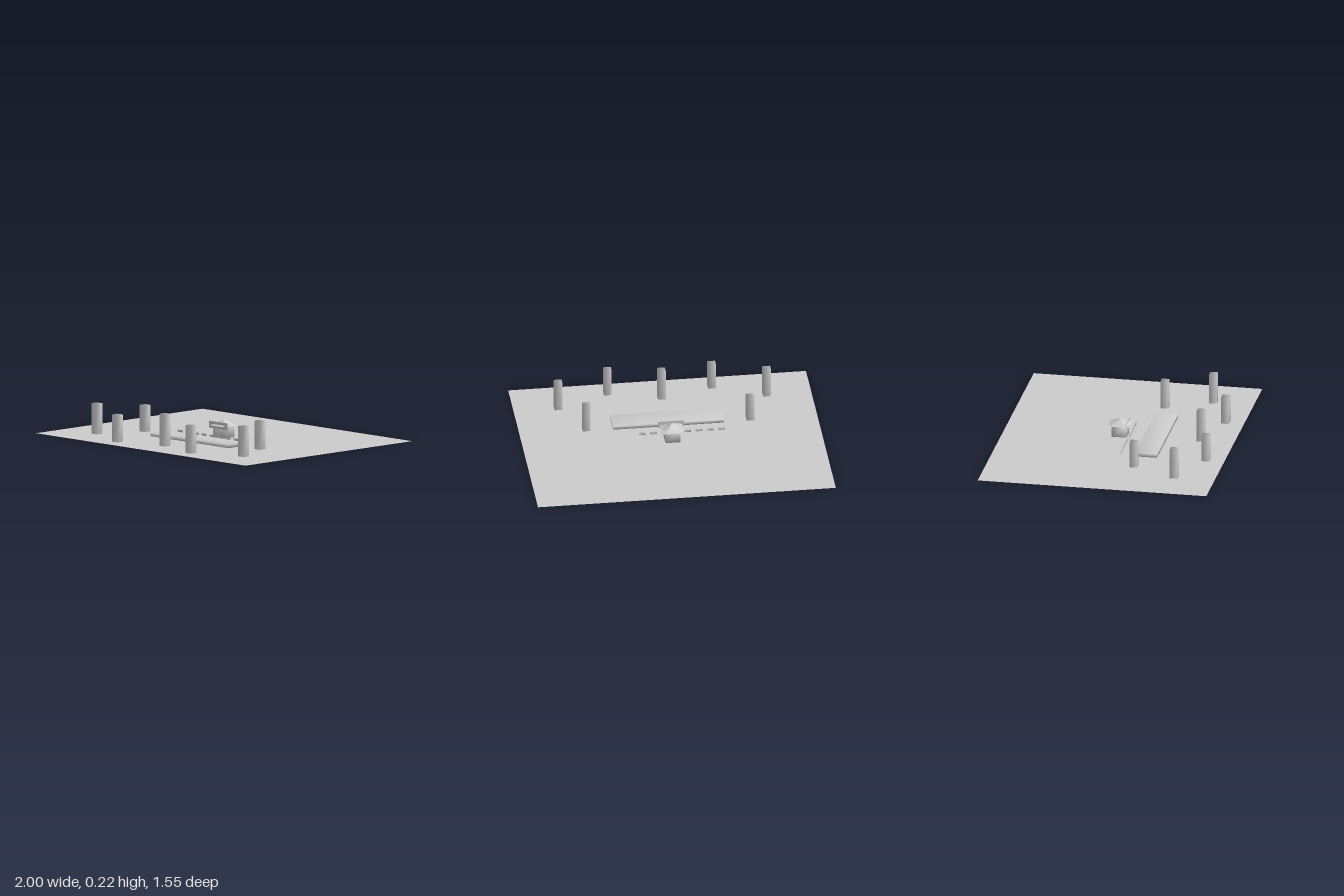
import * as THREE from 'three';
import { mergeVertices } from 'three/addons/utils/BufferGeometryUtils.js';

// Shared-vertex geometry gives soft shading across the corners
function soften(geometry) {
  geometry.deleteAttribute('normal');
  geometry.deleteAttribute('uv');
  const merged = mergeVertices(geometry, 1e-5);
  merged.computeVertexNormals();
  return merged;
}

export function createModel() {
  const model = new THREE.Group();
  const stone = new THREE.MeshStandardMaterial({ color: 0xcccccc, side: THREE.DoubleSide });
  stone.name = 'grey stone';

  function add(name, geometry, x = 0, y = 0, z = 0, parent = model) {
    const mesh = new THREE.Mesh(geometry, stone);
    mesh.name = name;
    mesh.position.set(x, y, z);
    parent.add(mesh);
    return mesh;
  }
  // Soft-shaded box standing at height y0
  function block(name, w, h, d, x, y0, z, parent) {
    return add(name, soften(new THREE.BoxGeometry(w, h, d)), x, y0 + h / 2, z, parent);
  }

  // Ground sheet
  add('ground', new THREE.PlaneGeometry(2, 1.55).rotateX(-Math.PI / 2));

  // Long low platform
  block('platform', 0.745, 0.025, 0.15, 0, 0.001, 0.246);

  // Standing pillars: x, z, height
  const pillars = [
    [-0.7, 0.5, 0.205], [-0.55, 0.2, 0.178], [-0.35, 0.65, 0.183], [0, 0.55, 0.216],
    [0.35, 0.65, 0.188], [0.55, 0.2, 0.193], [0.7, 0.5, 0.205],
  ];
  for (const [x, z, h] of pillars) block('pillar', 0.052, h, 0.052, x, 0.001, z);

  // Row of low fence boards behind the platform
  for (let i = 0; i < 8; i++) block('fenceBoard', 0.045, 0.015, 0.005, -0.342 + i * 0.076, 0.005, 0.074);

  // Small shrine
  const shrine = new THREE.Group();
  shrine.name = 'shrine';
  model.add(shrine);
  block('shrineBody', 0.1, 0.089, 0.102, 0, 0.001, 0.002, shrine);
  add('signBoard', new THREE.PlaneGeometry(0.177, 0.047), 0, 0.084, 0.054, shrine);

  // Roof: a concave spire with rounded-square cross-sections
  const profile = [[0.075, 0.082], [0.062, 0.086], [0.048, 0.092], [0.03, 0.102], [0.014, 0.114], [0, 0.125]]
    .map(([r, y]) => new THREE.Vector2(r, y));
  const roof = new THREE.LatheGeometry(profile, 32);
  const p = roof.attributes.position;
  for (let i = 0; i < p.count; i++) {
    const a = Math.atan2(p.getZ(i), p.getX(i));
    const k = Math.pow(Math.abs(Math.cos(a)) ** 6 + Math.abs(Math.sin(a)) ** 6, -1 / 6);
    p.setX(i, p.getX(i) * k);
    p.setZ(i, p.getZ(i) * k);
  }
  add('shrineRoof', soften(roof), 0, 0, 0, shrine);

  return model;
}
